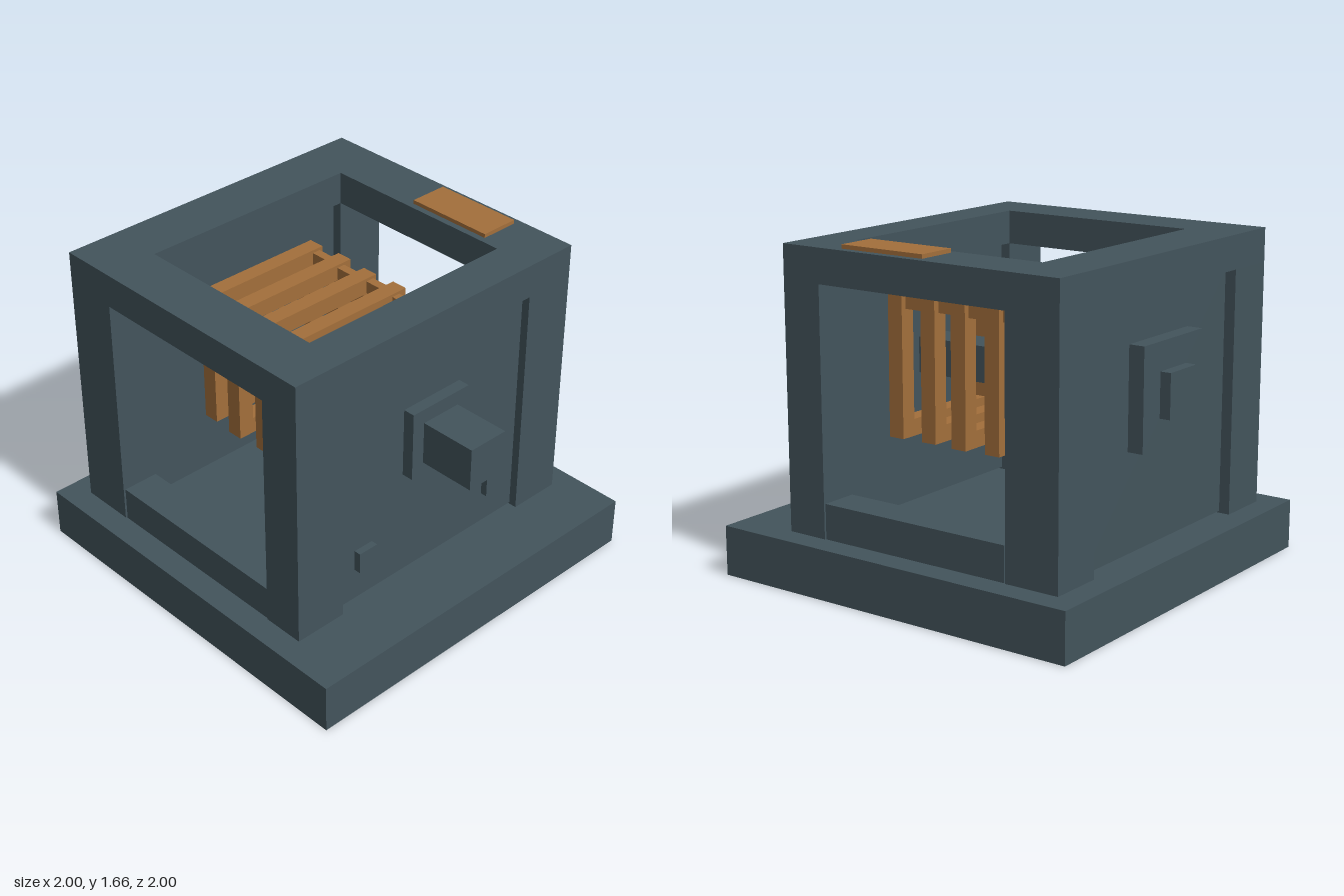
import * as THREE from 'three';

export function createModel() {
  const model = new THREE.Group();
  model.name = 'generator';

  const steel = new THREE.MeshStandardMaterial({ color: 0x43545c });
  steel.name = 'slate steel';
  const copper = new THREE.MeshStandardMaterial({ color: 0xa36f3b });
  copper.name = 'copper';

  // Box given by its limits on each axis
  function box(name, material, [x0, x1], [y0, y1], [z0, z1], parent = model) {
    const mesh = new THREE.Mesh(new THREE.BoxGeometry(x1 - x0, y1 - y0, z1 - z0), material);
    mesh.position.set((x0 + x1) / 2, (y0 + y1) / 2, (z0 + z1) / 2);
    mesh.name = name;
    parent.add(mesh);
    return mesh;
  }

  // Rectangular outline, usable as a shape or a hole
  function rectangle(PathType, x0, x1, y0, y1) {
    return new PathType([
      new THREE.Vector2(x0, y0), new THREE.Vector2(x1, y0),
      new THREE.Vector2(x1, y1), new THREE.Vector2(x0, y1),
    ]);
  }

  box('base', steel, [-1, 1], [0, 0.25], [-1, 1]);

  // Housing frame: four posts, a top ring and two low side rails
  const frame = new THREE.Group();
  frame.name = 'frame';
  model.add(frame);
  for (const side of [-1, 1]) {
    const postX = side > 0 ? [0.597, 0.875] : [-0.875, -0.597];
    const railX = side > 0 ? [0.68, 0.87] : [-0.87, -0.68];
    box('frontPost', steel, postX, [0.25, 1.475], [0.47, 0.685], frame);
    box('backPost', steel, postX, [0.25, 1.475], [-0.875, -0.59], frame);
    box('sideRail', steel, railX, [0.25, 0.425], [-0.582, 0.465], frame);
  }
  // The shape's y becomes -z once laid flat
  const ring = rectangle(THREE.Shape, -0.875, 0.875, -0.685, 0.875);
  ring.holes.push(rectangle(THREE.Path, -0.597, 0.597, -0.47, 0.59));
  const topGeometry = new THREE.ExtrudeGeometry(ring, { depth: 0.17, bevelEnabled: false });
  topGeometry.rotateX(-Math.PI / 2);
  const topRing = new THREE.Mesh(topGeometry, steel);
  topRing.position.y = 1.475;
  topRing.name = 'topRing';
  frame.add(topRing);

  // Recessed end panels with narrow gaps above and below
  box('frontPanel', steel, [-0.595, 0.595], [0.26, 1.466], [0.52, 0.645]);
  box('backPanel', steel, [-0.595, 0.595], [0.26, 1.466], [-0.82, -0.64]);

  // Bearings, shaft and front bolts
  box('frontBearing', steel, [-0.18, 0.18], [0.825, 1.185], [0.645, 0.705]);
  box('backBearing', steel, [-0.25, 0.25], [0.75, 1.25], [-0.9, -0.82]);
  box('frontShaft', steel, [-0.11, 0.11], [0.89, 1.11], [0.705, 1]);
  box('backShaft', steel, [-0.11, 0.11], [0.89, 1.11], [-0.955, -0.9]);
  box('innerShaft', steel, [-0.092, 0.092], [0.91, 1.092], [-0.64, 0.52]);
  for (const x of [-0.43, 0.43]) {
    box('bolt', steel, [x - 0.055, x + 0.055], [0.43, 0.54], [0.645, 0.68]);
  }

  // Coil: six square hoops joined by short links
  const coil = new THREE.Group();
  coil.name = 'coil';
  model.add(coil);
  const pitch = 0.191, half = 0.0425, bar = 0.085;
  for (let i = 0; i < 6; i++) {
    const z = -0.516 + i * pitch;
    const w = i % 2 ? 0.372 : 0.361;
    const hoop = rectangle(THREE.Shape, -w, w, 0.643, 1.365);
    hoop.holes.push(rectangle(THREE.Path, bar - w, w - bar, 0.643 + bar, 1.365 - bar));
    const mesh = new THREE.Mesh(
      new THREE.ExtrudeGeometry(hoop, { depth: 2 * half, bevelEnabled: false }), copper);
    mesh.position.z = z - half;
    mesh.name = 'coilHoop';
    coil.add(mesh);
    if (i < 5) {
      const x = i % 2 ? 0.307 : 0.319;
      box('coilLink', copper, [x - 0.023, x + 0.023], [1.285, 1.35],
        [z + half, z + pitch - half], coil);
    }
  }

  box('topPlate', copper, [0.63, 0.835], [1.645, 1.665], [-0.11, 0.36]);

  return model;
}
